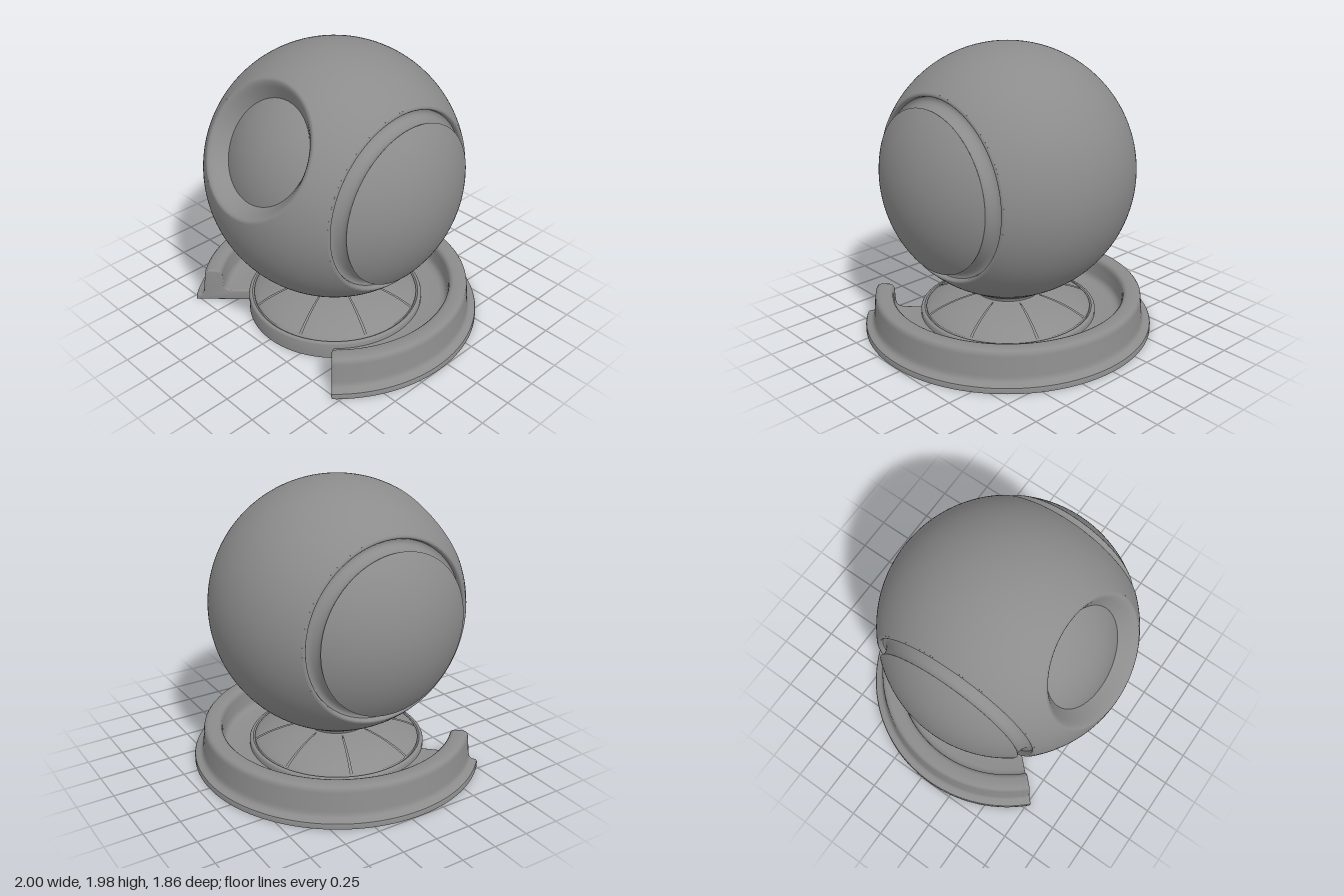
import * as THREE from 'three';
import { toCreasedNormals } from 'three/addons/utils/BufferGeometryUtils.js';
import { ParametricGeometry } from 'three/addons/geometries/ParametricGeometry.js';

const R = 0.86;                        // ball radius
const SIDE_LAT = Math.acos(0.622 / R); // latitude of the side cuts, about the x axis
const HOLE = Math.asin(0.45 / R);      // angular radius of the front opening
const PATCH = Math.PI / 3;             // half width of the patch around the opening
const CZ = 0.07;                       // z of the vertical axis

const darkGrey = new THREE.MeshStandardMaterial({ color: 0x8c8c8c, side: THREE.DoubleSide });

function add(parent, name, geometry) {
  const mesh = new THREE.Mesh(geometry, darkGrey);
  mesh.name = name;
  parent.add(mesh);
  return mesh;
}

// Turned shape from [radius, height] pairs
function turned(points, segments = 144, start = 0, length = Math.PI * 2) {
  const profile = points.map(([r, h]) => new THREE.Vector2(r, h));
  return toCreasedNormals(new THREE.LatheGeometry(profile, segments, start, length), 0.7);
}

// Arc of a sphere from polar angle a to the pole
function capArc(radius, a, n = 20) {
  return Array.from({ length: n + 1 }, (_, i) => {
    const t = a * (1 - i / n);
    return [radius * Math.sin(t), radius * Math.cos(t)];
  });
}

// Point on the ball from longitude and latitude about the x axis
function onBall(lon, lat, target) {
  return target.set(Math.sin(lat), -Math.cos(lat) * Math.sin(lon), Math.cos(lat) * Math.cos(lon))
    .multiplyScalar(R);
}

function createHead() {
  const head = new THREE.Group();
  head.name = 'head';
  head.position.set(0, 1.12, CZ);
  head.rotation.x = -Math.PI / 6; // tips the opening upward

  // Back of the ball, open at both sides
  add(head, 'ballShell', new ParametricGeometry((u, v, p) =>
    onBall(PATCH + u * (Math.PI * 2 - PATCH * 2), (v * 2 - 1) * SIDE_LAT, p), 96, 48));

  // Front of the ball, from its square border to the round opening
  const inner = new THREE.Vector3();
  add(head, 'ballFront', new ParametricGeometry((u, v, p) => {
    const side = Math.min(3, Math.floor(u * 4));
    const s = (u * 4 - side) * 2 - 1;
    const [a, b] = [[1, s], [-s, 1], [-1, -s], [s, -1]][side];
    onBall(-b * PATCH, a * SIDE_LAT, p);
    const t = (side + s / 2) * Math.PI / 2;
    inner.set(Math.cos(t) * Math.sin(HOLE), Math.sin(t) * Math.sin(HOLE), Math.cos(HOLE));
    p.lerp(inner.multiplyScalar(R), v).setLength(R);
  }, 192, 20));

  // Soft-edged opening and the inner ball showing through it
  add(head, 'openingBevel', turned([
    [0.45, 0.7328], [0.445, 0.7358], [0.438, 0.738], [0.43, 0.737], [0.42, 0.7325],
    [0.409, 0.725], [0.395, 0.712], [0.36, 0.674], [0.335, 0.645],
  ], 192)).rotation.x = Math.PI / 2;
  add(head, 'innerBall', turned(capArc(0.73, Math.asin(0.337 / 0.73)))).rotation.x = Math.PI / 2;

  // Side grooves with a rounded lip, and domed side covers
  for (const s of [1, -1]) {
    const groove = turned([
      [0.622, 0.594], [0.616, 0.598], [0.609, 0.6], [0.602, 0.598], [0.597, 0.592],
      [0.595, 0.582], [0.592, 0.572], [0.58, 0.568], [0.562, 0.574], [0.548, 0.59],
      [0.536, 0.615], [0.53, 0.638], [0.533, 0.656], [0.54, 0.669],
    ]);
    add(head, 'sideGroove', groove).rotation.z = -s * Math.PI / 2;
    add(head, 'sideCover', turned(capArc(R, Math.asin(0.54 / R)))).rotation.z = -s * Math.PI / 2;
  }
  return head;
}

function createPedestal() {
  const pedestal = new THREE.Group();
  pedestal.name = 'pedestal';
  pedestal.position.z = CZ;

  const dome = [
    [0.575, 0.122], [0.565, 0.132], [0.54, 0.146], [0.49, 0.17], [0.43, 0.192],
    [0.36, 0.212], [0.29, 0.226], [0.235, 0.234],
  ];

  // Hollow underside with a socket, outer wall and rim, up to the lower skin of the dome
  add(pedestal, 'foot', turned([
    [0, 0.18], [0.22, 0.18], [0.22, 0.07], [0.58, 0.07], [0.58, 0], [0.612, 0],
    [0.612, 0.108], [0.608, 0.117], [0.599, 0.122], [0.588, 0.121], [0.58, 0.112],
    ...dome.map(([r, h]) => [r, h - 0.012]),
  ]));

  // Eight dome panels with narrow seams between them
  const step = Math.PI / 4, gap = 0.024;
  for (let i = 0; i < 8; i++) {
    add(pedestal, 'domePanel', turned(dome, 18, (i + 0.5) * step + gap / 2, step - gap));
  }

  // Flared neck under the ball
  add(pedestal, 'neck', turned([
    [0.25, 0.22], [0.236, 0.235], [0.226, 0.243], [0.228, 0.255], [0.24, 0.268],
    [0.262, 0.281], [0.288, 0.293], [0.302, 0.301], [0.309, 0.309], [0.309, 0.335],
  ]));
  return pedestal;
}

function createRing() {
  const ring = new THREE.Group();
  ring.name = 'baseRing';
  ring.position.z = CZ;

  const section = [
    [1, 0], [1, 0.028], [0.996, 0.037], [0.985, 0.042], [0.965, 0.046], [0.951, 0.054],
    [0.943, 0.07], [0.939, 0.09], [0.928, 0.215], [0.924, 0.236], [0.913, 0.249], [0.895, 0.255],
    [0.835, 0.255], [0.818, 0.249], [0.806, 0.236], [0.802, 0.215], [0.796, 0.125],
    [0.788, 0.103], [0.772, 0.088], [0.745, 0.081], [0.612, 0.08], [0.612, 0],
  ];
  // Three quarters of a turn, open at the front
  const start = Math.PI / 4 + 0.03;
  add(ring, 'ringWall', turned([...section, section[0]], 144, start, (Math.PI - start) * 2));

  // Ends beside the opening, with softened edges
  const shape = new THREE.Shape(section.map(([r, h]) => new THREE.Vector2(r, h)));
  const bevel = 0.01, depth = 0.03;
  const end = toCreasedNormals(new THREE.ExtrudeGeometry(shape, {
    depth, bevelThickness: bevel, bevelSize: bevel, bevelOffset: -bevel, bevelSegments: 3,
  }).translate(0, 0, -depth - bevel), 0.7);
  for (const s of [1, -1]) {
    const side = new THREE.Group();
    side.name = s > 0 ? 'leftEnd' : 'rightEnd';
    side.scale.x = s;
    add(side, 'ringEnd', end).rotation.y = -Math.PI / 4;
    ring.add(side);
  }
  return ring;
}

export function createModel() {
  const model = new THREE.Group();
  model.name = 'displayBall';
  model.add(createHead(), createPedestal(), createRing());
  return model;
}
